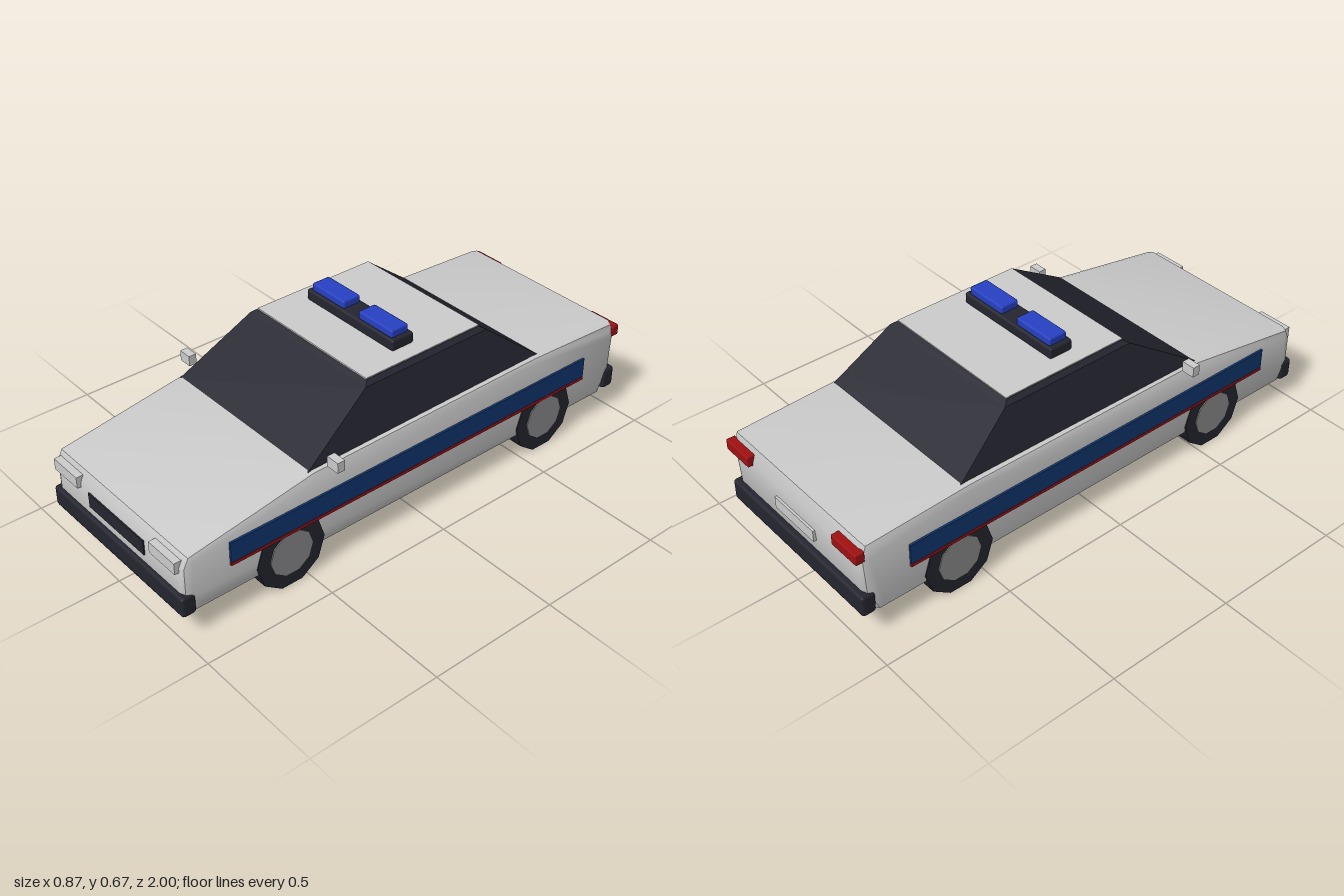
import * as THREE from 'three';
import { toCreasedNormals } from 'three/addons/utils/BufferGeometryUtils.js';
import { RoundedBoxGeometry } from 'three/addons/geometries/RoundedBoxGeometry.js';

const paint = (name, color) => Object.assign(new THREE.MeshStandardMaterial({ color }), { name });

export function createModel() {
  const car = new THREE.Group();
  car.name = 'patrolCar';
  const white = paint('bodyWhite', 0xcccccc);
  const dark = paint('darkGlassAndRubber', 0x252530);
  const hubGrey = paint('hubGrey', 0x8c8c8e);
  const navy = paint('stripeNavy', 0x11366f);
  const blue = paint('beaconBlue', 0x2740c4);
  const red = paint('lampRed', 0xa01012);

  const add = (name, geometry, material) => {
    const mesh = new THREE.Mesh(geometry, material);
    mesh.name = name;
    car.add(mesh);
    return mesh;
  };
  // Box given by its min and max corners, optionally with chamfered edges
  const block = (name, material, [x0, x1], [y0, y1], [z0, z1], bevel = 0) => {
    const size = [x1 - x0, y1 - y0, z1 - z0];
    const geometry = bevel
      ? new RoundedBoxGeometry(...size, 1, bevel)
      : new THREE.BoxGeometry(...size);
    add(name, geometry, material).position.set((x0 + x1) / 2, (y0 + y1) / 2, (z0 + z1) / 2);
  };

  // Body: side profile (z, y) extruded across the car with a chamfer
  const profile = [
    [0.945, 0.305], [0.46, 0.383], [-0.55, 0.39], [-0.943, 0.372], [-0.953, 0.34],
    [-0.945, 0.2], [-0.91, 0.125], [0.93, 0.125], [0.957, 0.17], [0.957, 0.28],
  ].map(([z, y]) => new THREE.Vector2(z, y));
  const bevel = 0.028;
  const width = 0.694;
  const body = new THREE.ExtrudeGeometry(new THREE.Shape(profile), {
    depth: width, bevelSize: bevel, bevelThickness: bevel, bevelSegments: 2,
  });
  body.translate(0, 0, -width / 2);
  body.rotateY(-Math.PI / 2);
  add('body', toCreasedNormals(body, 0.6), white);

  // Cabin glass: a box whose levels taper towards the roof
  const levels = [
    { y: 0.4, x: 0.357, front: 0.487, back: -0.595 },
    { y: 0.586, x: 0.309, front: 0.195, back: -0.355 },
    { y: 0.6, x: 0.292, front: 0.175, back: -0.335 },
  ];
  const cabin = new THREE.BoxGeometry(2, 2, 2, 1, 2, 1);
  const p = cabin.attributes.position;
  for (let i = 0; i < p.count; i++) {
    const level = levels[Math.round(p.getY(i)) + 1];
    p.setXYZ(i, Math.sign(p.getX(i)) * level.x, level.y, p.getZ(i) > 0 ? level.front : level.back);
  }
  add('cabinGlass', toCreasedNormals(cabin, 0.3), dark);
  block('roofPanel', white, [-0.29, 0.29], [0.597, 0.604], [-0.335, 0.177]);

  // Light bar
  block('lightBarBase', dark, [-0.227, 0.227], [0.602, 0.645], [-0.09, 0.006], 0.008);

  // Bumpers, grille and rear plate
  block('frontBumper', dark, [-0.378, 0.378], [0.102, 0.183], [0.945, 1], 0.012);
  block('rearBumper', dark, [-0.378, 0.378], [0.113, 0.197], [-0.995, -0.94], 0.012);
  block('grille', dark, [-0.16, 0.16], [0.217, 0.275], [0.97, 0.99]);
  block('rearPlate', white, [-0.11, 0.11], [0.245, 0.29], [-0.987, -0.96]);

  // Paired parts on both sides
  for (const side of [-1, 1]) {
    const name = side > 0 ? 'left' : 'right';
    const span = (a, b) => (side > 0 ? [a, b] : [-b, -a]);
    block(name + 'Beacon', blue, span(0.038, 0.21), [0.64, 0.673], [-0.08, -0.005], 0.007);
    block(name + 'Headlight', white, span(0.21, 0.35), [0.268, 0.312], [0.96, 1]);
    block(name + 'TailLight', red, span(0.24, 0.372), [0.335, 0.377], [-1, -0.965], 0.004);
    block(name + 'Mirror', white, span(0.38, 0.433), [0.417, 0.457], [0.388, 0.418]);
    block(name + 'Stripe', navy, span(0.377, 0.385), [0.234, 0.313], [-0.805, 0.812]);
    block(name + 'StripeTrim', red, span(0.377, 0.386), [0.222, 0.234], [-0.805, 0.812]);

    // Wheels with hub discs
    for (const [end, z] of [['Front', 0.57], ['Rear', -0.61]]) {
      const tyre = new THREE.CylinderGeometry(0.139, 0.139, 0.09, 10).rotateZ(Math.PI / 2);
      tyre.rotateX(Math.PI);
      add(name + end + 'Tyre', tyre, dark).position.set(side * 0.334, 0.139, z);
      const hub = new THREE.CylinderGeometry(0.088, 0.088, 0.01, 10).rotateZ(Math.PI / 2);
      add(name + end + 'Hub', hub, hubGrey).position.set(side * 0.378, 0.139, z);
    }
  }
  return car;
}
